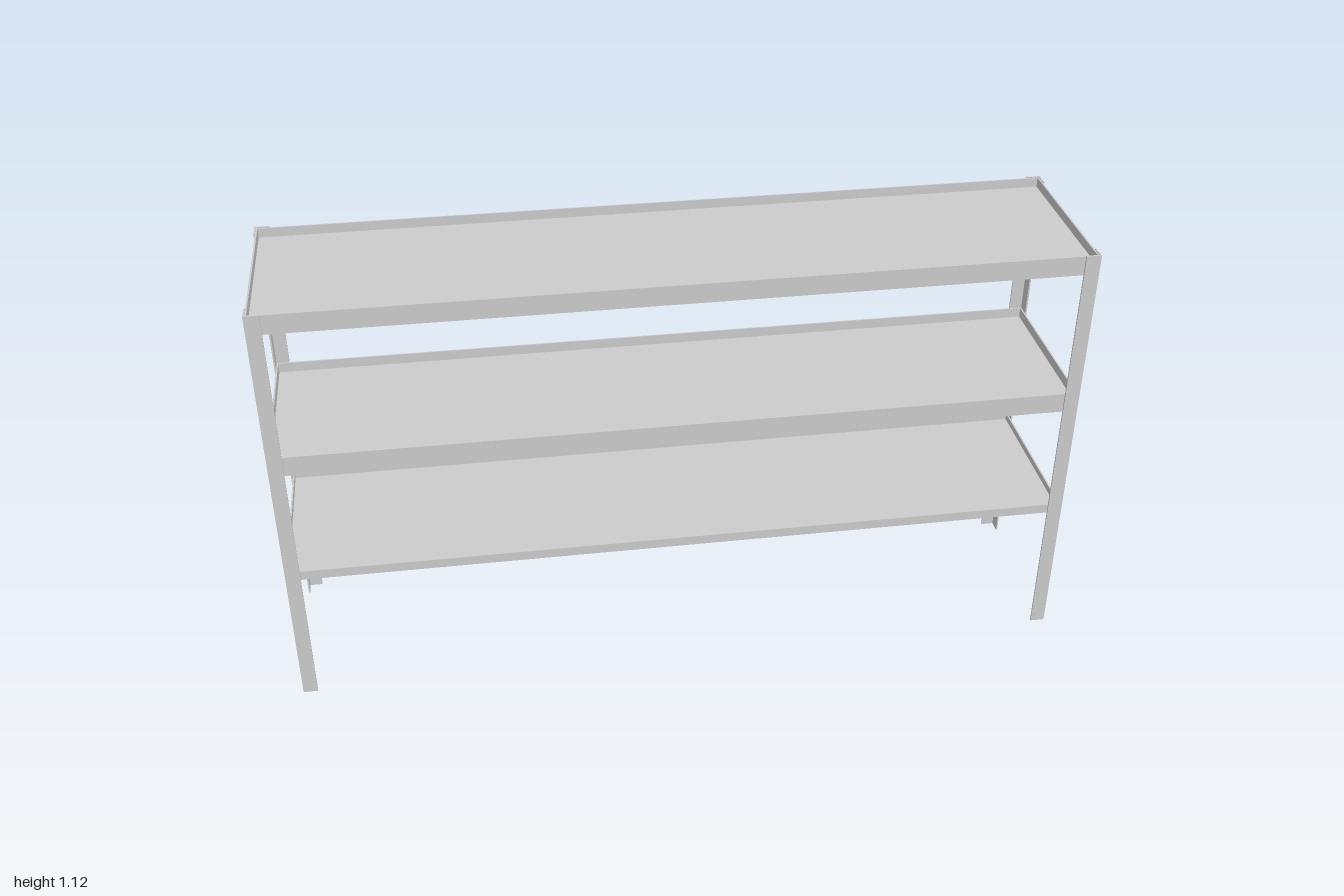
import * as THREE from 'three';

const W = 1.0, D = 0.225, H = 1.12; // half width, half depth, height
const LEG = 0.037, T = 0.004;       // angle iron leg width and sheet thickness

export function createModel() {
  const model = new THREE.Group();
  const material = new THREE.MeshStandardMaterial({ color: 0xcccccc, flatShading: true });

  function box(parent, name, [x0, x1], [y0, y1], [z0, z1]) {
    const mesh = new THREE.Mesh(new THREE.BoxGeometry(x1 - x0, y1 - y0, z1 - z0), material);
    mesh.position.set((x0 + x1) / 2, (y0 + y1) / 2, (z0 + z1) / 2);
    mesh.name = name;
    parent.add(mesh);
  }
  // Range running inwards from an outer edge on either side of the centre
  const inward = (side, edge, depth) =>
    side > 0 ? [edge - depth, edge] : [-edge, depth - edge];

  // Corner posts: L-section angle iron with the corner facing out
  const section = new THREE.Shape([[0, 0], [LEG, 0], [LEG, T], [T, T], [T, LEG], [0, LEG]]
    .map(([x, y]) => new THREE.Vector2(x, y)));
  const postGeometry = new THREE.ExtrudeGeometry(section, { depth: H, bevelEnabled: false });
  postGeometry.rotateX(-Math.PI / 2); // legs now run along +x and -z
  const corners = [[-W, D, 0], [W, D, 1], [W, -D, 2], [-W, -D, 3]];
  for (const [x, z, turns] of corners) {
    const post = new THREE.Mesh(postGeometry, material);
    post.name = 'cornerPost';
    post.position.set(x, 0, z);
    post.rotation.y = turns * Math.PI / 2;
    model.add(post);
  }

  // Shelves: a board resting on a frame of angle rails
  const shelves = [
    { name: 'bottomShelf', y0: 0.365, y1: 0.39, board: 0.372 },
    { name: 'middleShelf', y0: 0.68, y1: 0.732, board: 0.706 },
    { name: 'topShelf', y0: 1.068, y1: 1.118, board: 1.094 },
  ];
  for (const { name, y0, y1, board } of shelves) {
    const shelf = new THREE.Group();
    shelf.name = name;
    const x = W - T, z = D - T;
    for (const side of [-1, 1]) {
      // Long rails
      box(shelf, 'longRail', [-x, x], [y0, y1], inward(side, z, T));
      box(shelf, 'longRailFlange', [-x, x], [y0, y0 + T], inward(side, z - T, LEG - T));
      // End rails
      box(shelf, 'endRail', inward(side, x, T), [y0, y1], [-z + T, z - T]);
      box(shelf, 'endRailFlange', inward(side, x - T, LEG - T), [y0, y0 + T], [-z + LEG, z - LEG]);
    }
    box(shelf, 'board', [-x + T, x - T], [y0 + T, board], [-z + T, z - T]);
    model.add(shelf);
  }
  return model;
}
